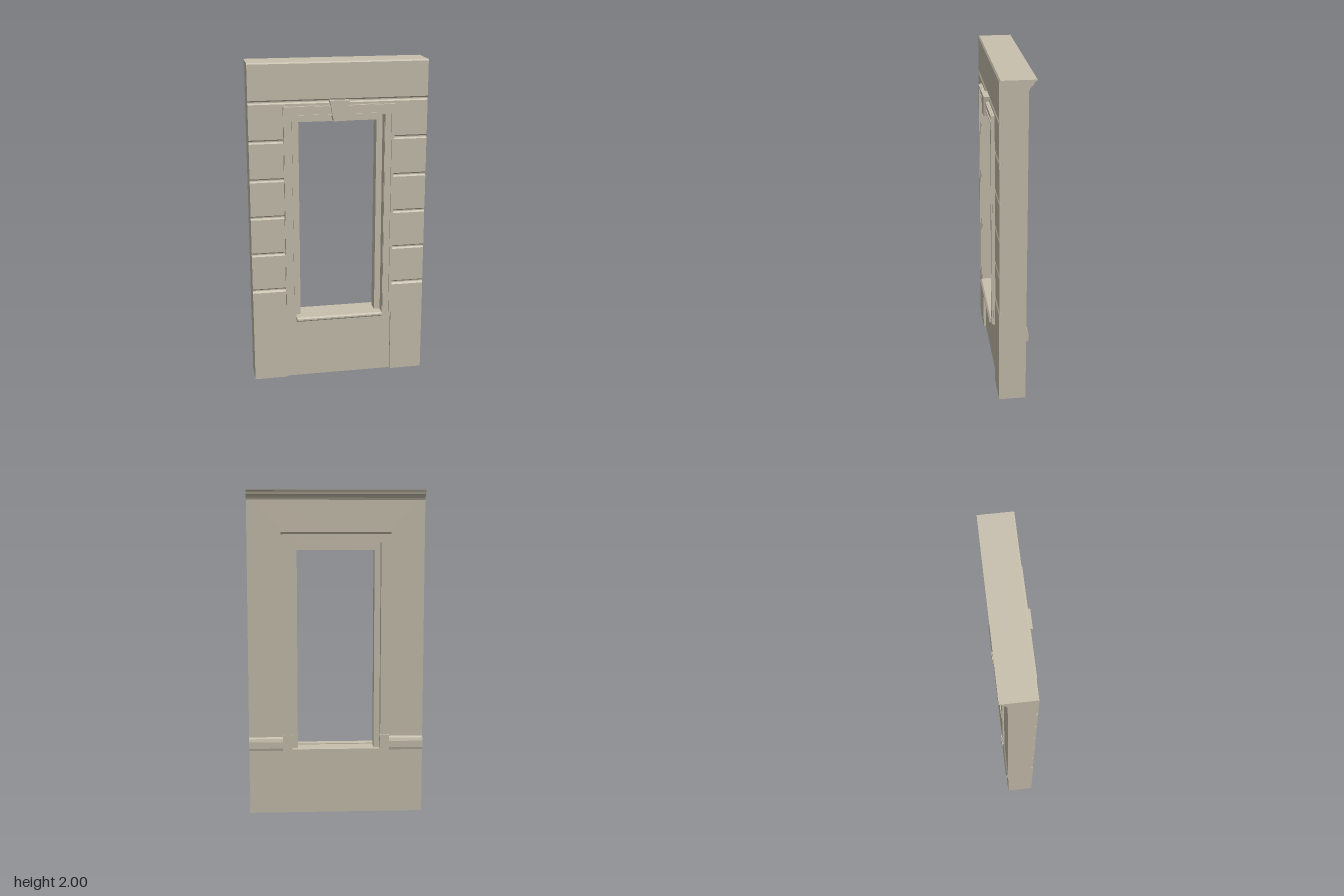
import * as THREE from 'three';

export function createModel() {
  const model = new THREE.Group();
  model.name = 'windowWall';
  const stone = new THREE.MeshStandardMaterial({ color: 0xc8c0ae });
  stone.name = 'warm stone';

  const W = 0.54, BACK = -0.075, CORE = 0.073;

  function add(name, geometry) {
    const mesh = new THREE.Mesh(geometry, stone);
    mesh.name = name;
    model.add(mesh);
    return mesh;
  }
  const shapeOf = pts => new THREE.Shape(pts.map(p => new THREE.Vector2(p[0], p[1])));
  const extrude = (shape, depth) => new THREE.ExtrudeGeometry(shape, { depth, bevelEnabled: false });

  // box given by its limits
  function box(name, x0, x1, y0, y1, z0, z1) {
    const g = new THREE.BoxGeometry(x1 - x0, y1 - y0, z1 - z0);
    return add(name, g.translate((x0 + x1) / 2, (y0 + y1) / 2, (z0 + z1) / 2));
  }
  // (x, y) outline running from z0 to z1
  function slab(name, pts, z0, z1, hole) {
    const shape = shapeOf(pts);
    if (hole) shape.holes.push(new THREE.Path(hole.map(p => new THREE.Vector2(p[0], p[1]))));
    return add(name, extrude(shape, z1 - z0).translate(0, 0, z0));
  }
  // (z, y) profile running from x0 to x1
  function moulding(name, pts, x0, x1) {
    const g = extrude(shapeOf(pts.map(([z, y]) => [-z, y])), x1 - x0);
    return add(name, g.rotateY(Math.PI / 2).translate(x0, 0, 0));
  }
  const rect = (x, y0, y1) => [[-x, y0], [x, y0], [x, y1], [-x, y1]];
  // upside-down U around the opening
  const arch = (xo, xi, y0, yi, yo) =>
    [[-xo, y0], [-xi, y0], [-xi, yi], [xi, yi], [xi, y0], [xo, y0], [xo, yo], [-xo, yo]];
  // facing stone with chamfered upper and lower edges
  const course = (y0, y1, z, low = 0.008, high = 0.008) =>
    [[CORE - 0.01, y0], [z - low, y0], [z, y0 + low], [z, y1 - high], [z - high, y1], [CORE - 0.01, y1]];

  // wall core and the frame set within its opening
  slab('wallCore', rect(W, 0, 2), BACK, CORE, rect(0.275, 0.405, 1.685));
  slab('innerFrame', arch(0.285, 0.238, 0.4, 1.64, 1.69), -0.035, 0.04);

  // facing: base piers, coursed side stones and top band
  const joints = [0.6, 0.835, 1.07, 1.302, 1.537, 1.77];
  for (const side of [-1, 1]) {
    const x0 = side < 0 ? -W : 0.335, x1 = x0 + W - 0.335;
    moulding('basePier', course(0, joints[0] - 0.004, 0.088, 0, 0.01), x0, x1);
    for (let i = 0; i < joints.length - 1; i++)
      moulding('sideCourse', course(joints[i] + 0.004, joints[i + 1] - 0.004, 0.085), x0, x1);
  }
  moulding('headStrip', course(1.735, 1.766, 0.085), -0.335, 0.335);
  moulding('topBand', course(1.774, 2, 0.085), -W, W);

  // front casing with outer and inner beads
  slab('frontCasing', arch(0.335, 0.275, 0.405, 1.683, 1.745), 0.06, 0.098);
  slab('casingOuterBead', arch(0.333, 0.317, 0.41, 1.729, 1.743), 0.09, 0.107);
  slab('casingInnerBead', arch(0.285, 0.277, 0.41, 1.685, 1.693), 0.09, 0.104);

  // keystone and sill
  slab('keystone', [[-0.037, 1.653], [0.037, 1.653], [0.06, 1.775], [-0.06, 1.775]], 0.06, 0.117);
  moulding('sill', [[0.05, 0.385], [0.108, 0.385], [0.116, 0.393], [0.116, 0.403], [0.106, 0.411], [0.05, 0.411]],
    -0.27, 0.27);

  // rear cornice
  moulding('rearCornice', [[BACK + 0.01, 1.94], [BACK, 1.94], [-0.08, 1.952], [-0.09, 1.965], [-0.101, 1.973],
    [-0.106, 1.988], [-0.118, 1.994], [-0.12, 2], [BACK + 0.01, 2]], -W, W);

  // rear casing with cap, plinth blocks and rail
  slab('rearCasing', arch(0.325, 0.275, 0.405, 1.685, 1.74), -0.086, -0.07);
  box('rearHeadBoard', -0.325, 0.325, 1.69, 1.738, -0.089, -0.07);
  moulding('rearHeadCap', [[-0.07, 1.735], [-0.088, 1.735], [-0.096, 1.748], [-0.096, 1.76], [-0.07, 1.76]],
    -0.335, 0.335);
  for (const side of [-1, 1]) {
    const x0 = side < 0 ? -0.33 : 0.272;
    box('rearPlinthBlock', x0, x0 + 0.058, 0.4, 0.495, -0.092, -0.06);
    const r0 = side < 0 ? -W : 0.325;
    moulding('rearRail', [[-0.07, 0.4], [-0.085, 0.4], [-0.089, 0.415], [-0.089, 0.455], [-0.083, 0.475],
      [BACK, 0.485], [-0.07, 0.485]], r0, r0 + W - 0.325);
  }

  // centre the depth on the origin
  const bounds = new THREE.Box3().setFromObject(model);
  const shift = -(bounds.min.z + bounds.max.z) / 2;
  model.children.forEach(m => m.geometry.translate(0, 0, shift));
  return model;
}
